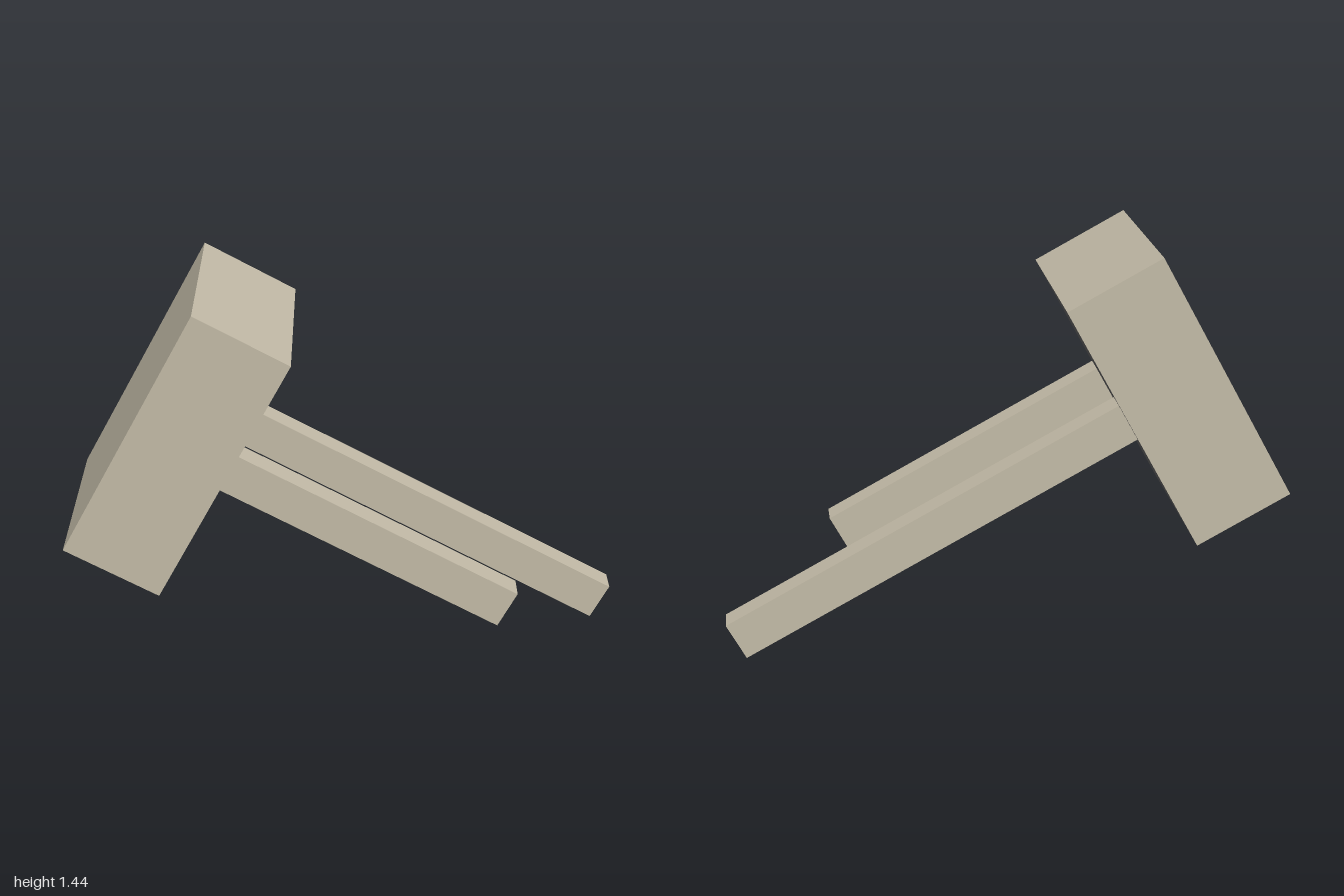
import * as THREE from 'three';

export function createModel() {
  const tan = new THREE.MeshStandardMaterial({ color: 0xc3bba7 });
  tan.name = 'tan';
  const charcoal = new THREE.MeshStandardMaterial({ color: 0x606060 });
  charcoal.name = 'charcoal';
  // The outer end and the underside of every block are charcoal
  const faces = [charcoal, tan, tan, charcoal, tan, tan];

  const model = new THREE.Group();
  model.name = 'model';

  // Everything is laid out straight in this group, then tilted as one
  const tilted = new THREE.Group();
  tilted.name = 'tiltedBody';
  tilted.position.set(-0.5975, 0.918, 0);
  tilted.rotation.z = THREE.MathUtils.degToRad(-28.65);
  model.add(tilted);

  function block(name, length, height, depth, x, z) {
    const mesh = new THREE.Mesh(new THREE.BoxGeometry(length, height, depth), faces);
    mesh.name = name;
    mesh.position.set(x, 0, z);
    tilted.add(mesh);
  }

  // Thick head slab
  const thickness = 0.376;
  block('head', thickness, 0.99, 0.776, 0, 0);

  // Two prongs starting at the face of the head
  const prongs = [['shortProng', 1.143, 0.233], ['longProng', 1.592, -0.233]];
  for (const [name, length, z] of prongs) {
    block(name, length, 0.145, 0.104, thickness / 2 + length / 2, z);
  }

  return model;
}
